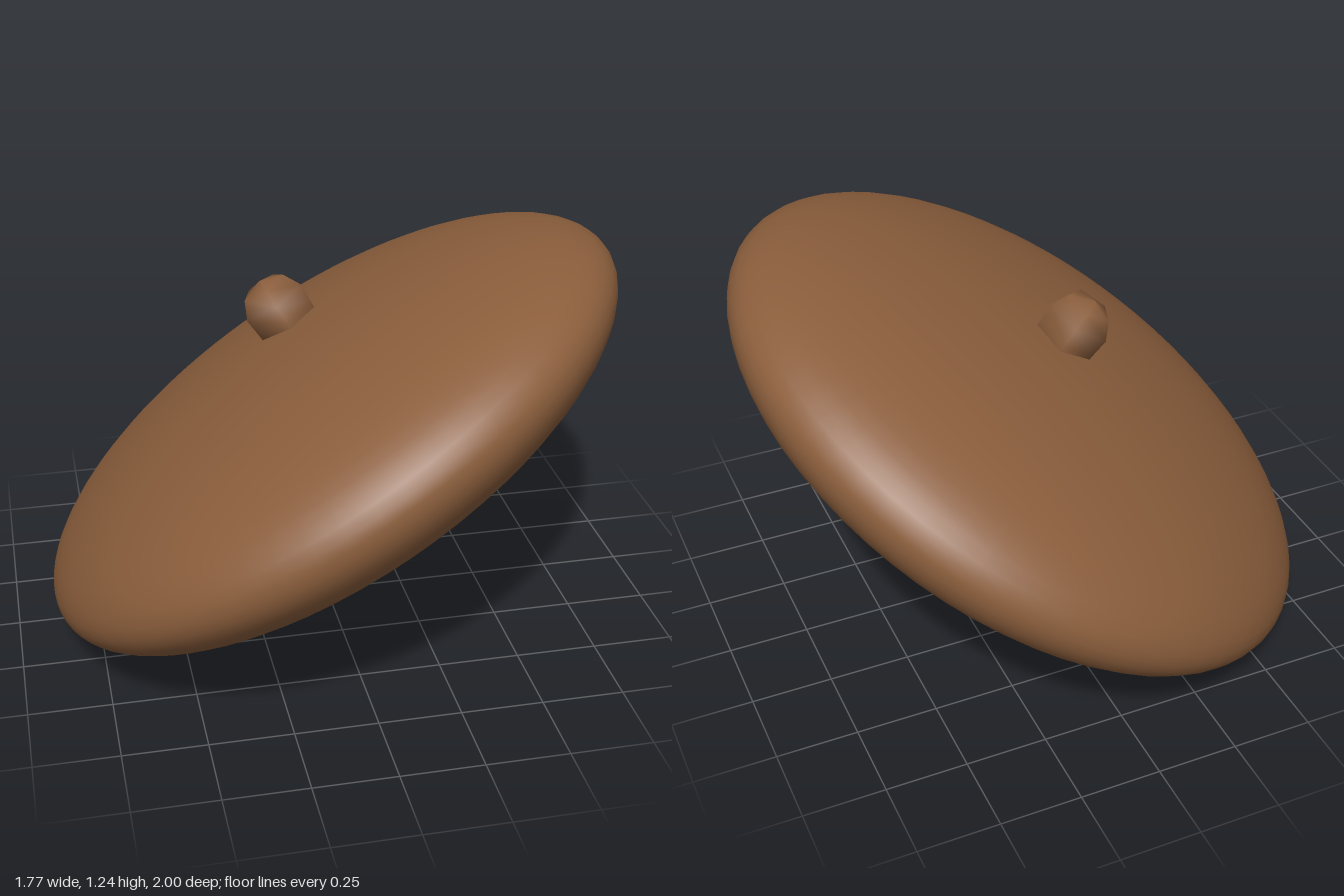
import * as THREE from 'three';

export function createModel() {
  const model = new THREE.Group();
  const material = new THREE.MeshStandardMaterial({ color: 0x8b5e3c });

  // Shared tilt: the axis of the disc and its stem
  const axis = new THREE.Vector3(-0.518, 0.838, -0.18).normalize();
  const tilt = new THREE.Quaternion().setFromUnitVectors(new THREE.Vector3(0, 1, 0), axis);

  function addPart(name, geometry, x, y, z) {
    const mesh = new THREE.Mesh(geometry, material);
    mesh.name = name;
    mesh.position.set(x, y, z);
    mesh.quaternion.copy(tilt);
    model.add(mesh);
  }

  // Flattened round body
  addPart('disc', new THREE.SphereGeometry(1, 64, 32).scale(1.015, 0.332, 1.015), 0, 0.62, 0);

  // Short five-sided stem with a rounded tip, slightly off centre
  const profile = [[0, 0.25], [0.095, 0.25], [0.1, 0.36], [0.105, 0.42], [0.075, 0.475], [0, 0.495]]
    .map(([r, h]) => new THREE.Vector2(r, h));
  addPart('stem', new THREE.LatheGeometry(profile, 5), 0.07, 0.645, -0.025);

  return model;
}
